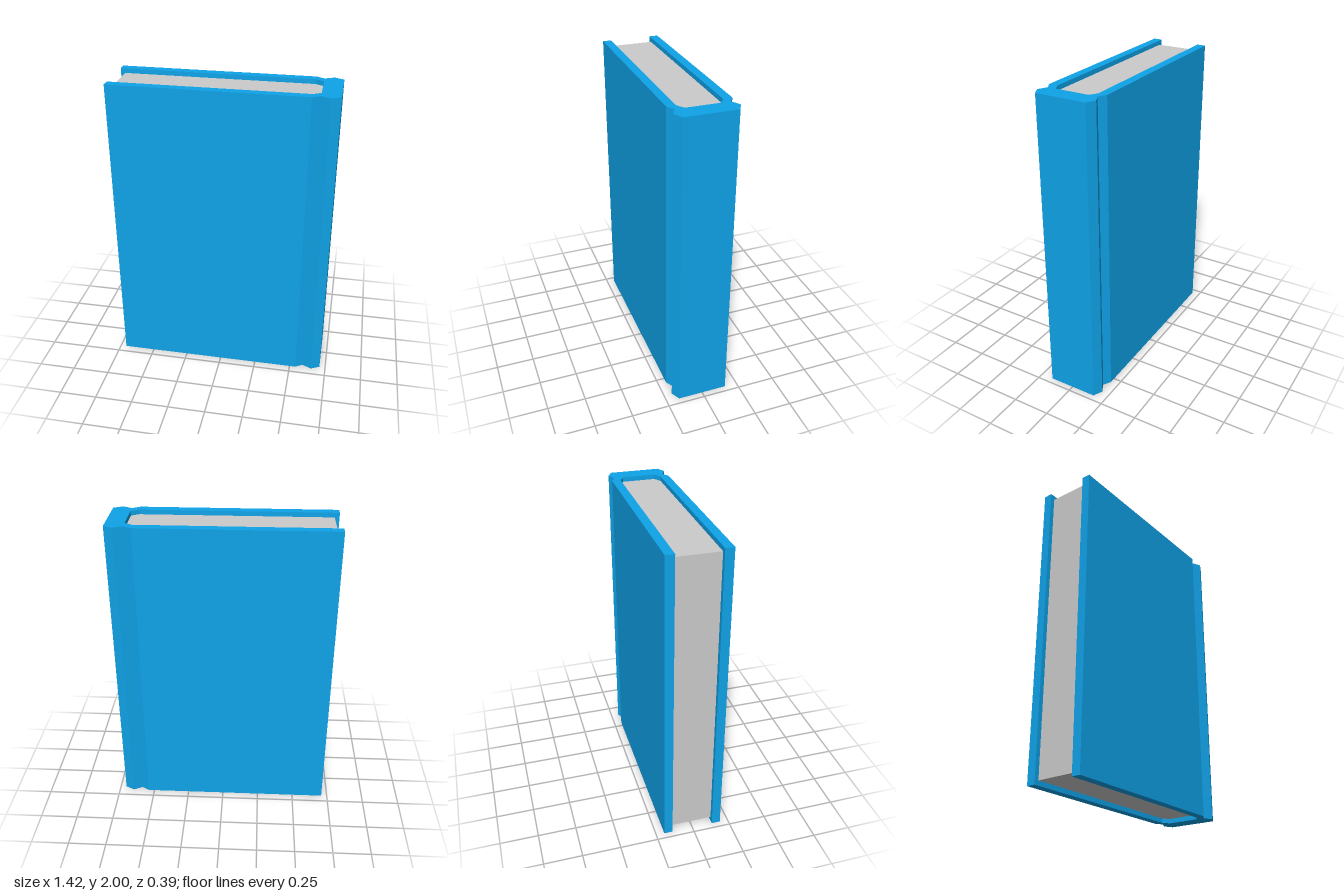
import * as THREE from 'three';

const HEIGHT = 2;
const RECESS = 0.03; // how far the pages sit inside the cover edges

// Builds a closed outline from half of it, mirrored across z = 0.
const mirrored = (half) => [...half, ...half.map(([x, z]) => [x, -z]).reverse()];

// Extrudes a plan outline upwards from y = bottom.
function upright(name, outline, bottom, height, color) {
  const shape = new THREE.Shape(outline.map(([x, z]) => new THREE.Vector2(x, z)));
  const geometry = new THREE.ExtrudeGeometry(shape, { depth: height, bevelEnabled: false });
  geometry.rotateX(-Math.PI / 2).translate(0, bottom, 0);
  const mesh = new THREE.Mesh(geometry, new THREE.MeshStandardMaterial({ color, flatShading: true }));
  mesh.name = name;
  return mesh;
}

export function createModel() {
  const group = new THREE.Group();
  group.name = 'book';

  // Cover: two boards, the hinge grooves and the faceted spine in one outline
  const cover = mirrored([
    [0.59, 0.108], [0.54, 0.138], [-0.71, 0.138], [-0.71, 0.195],
    [0.54, 0.195], [0.59, 0.165], [0.65, 0.195], [0.71, 0.165],
  ]);
  group.add(upright('cover', cover, 0, HEIGHT, 0x0fa3e8));

  // Page block, set back from the top, bottom and fore edge
  const pages = mirrored([[-0.71 + RECESS, 0.138], [0.54, 0.138], [0.59, 0.108]]);
  group.add(upright('pages', pages, RECESS, HEIGHT - 2 * RECESS, 0xcccccc));

  return group;
}
